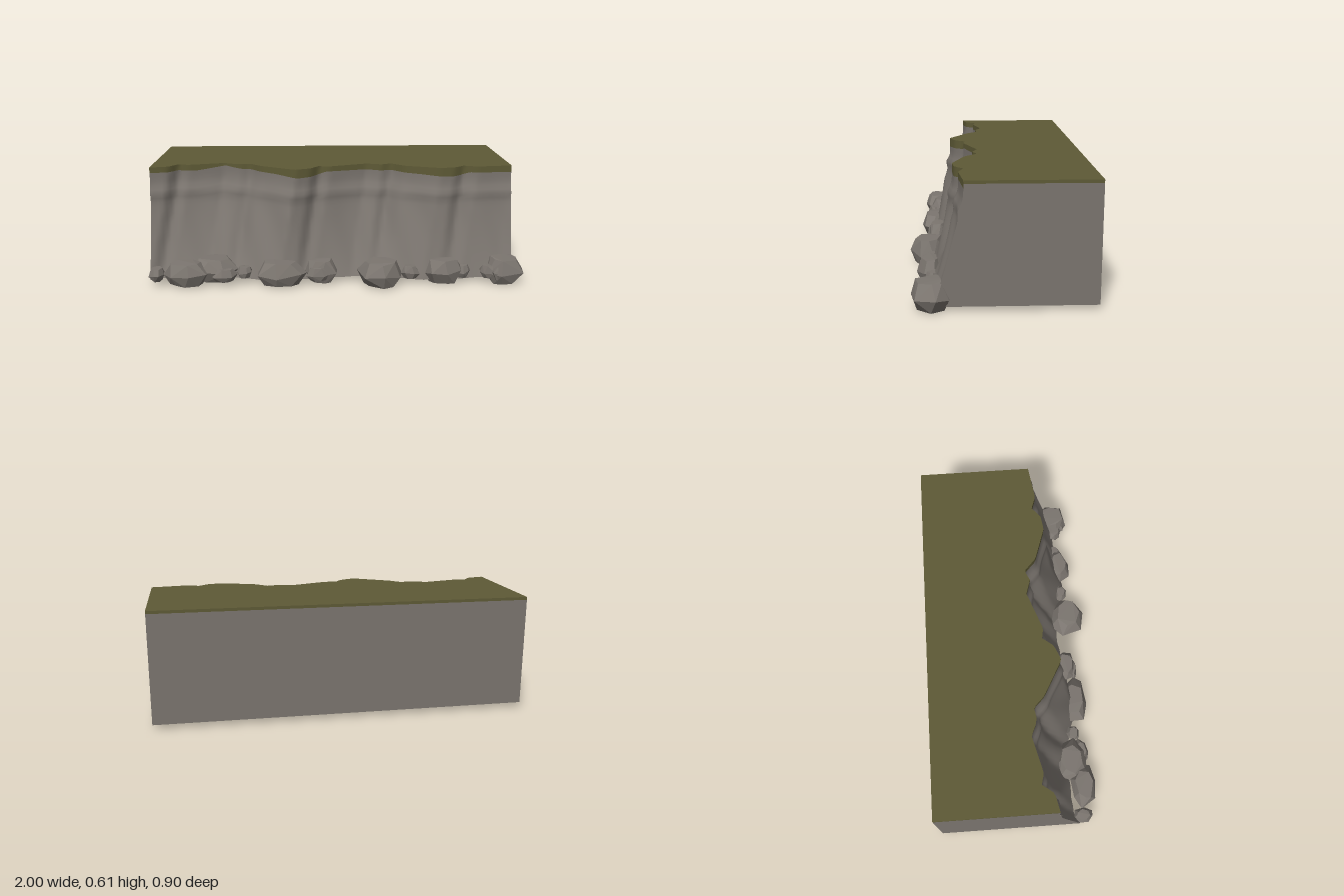
import * as THREE from 'three';
import { ConvexGeometry } from 'three/addons/geometries/ConvexGeometry.js';

const stone = new THREE.MeshStandardMaterial({ color: 0x7b756f });
stone.name = 'stone';
const grass = new THREE.MeshStandardMaterial({ color: 0x5e5a36 });
grass.name = 'grass';
const rubble = new THREE.MeshStandardMaterial({ color: 0x7b756f, flatShading: true });
rubble.name = 'rubble';

const LEFT = -0.995, RIGHT = 0.945, BACK = -0.455, BASE = 0.025, TOP = 0.605;
const { lerp, clamp } = THREE.MathUtils;

// Cliff rim seen from above: [x, z]
const RIM = [[-0.995, 0.165], [-0.9, 0.145], [-0.855, 0.085], [-0.8, 0.1], [-0.61, 0.055], [-0.555, 0.08],
  [-0.52, 0.088], [-0.465, 0.078], [-0.41, 0.135], [-0.22, 0.242], [-0.14, 0.21], [-0.095, 0.152],
  [-0.04, 0.162], [0.165, 0.09], [0.245, 0.115], [0.3, 0.09], [0.37, 0.155], [0.55, 0.216],
  [0.63, 0.205], [0.685, 0.16], [0.755, 0.185], [0.945, 0.16]];
// Lower edge of the grass on the front: [x, y]
const FRINGE = [[-0.995, 0.575], [-0.75, 0.572], [-0.6, 0.592], [-0.5, 0.577], [-0.32, 0.57], [-0.2, 0.557],
  [-0.1, 0.56], [-0.05, 0.578], [0.3, 0.57], [0.45, 0.565], [0.6, 0.556], [0.68, 0.558], [0.72, 0.572], [0.945, 0.57]];

function sample(table, x) {
  const i = clamp(table.findIndex(p => p[0] >= x), 1, table.length - 1);
  const [a, b] = [table[i - 1], table[i]];
  return lerp(a[1], b[1], clamp((x - a[0]) / (b[0] - a[0]), 0, 1));
}

// Cliff face: vertical lip, a ledge, then a flare outwards with leaning grooves
function faceZ(x, y) {
  const drop = Math.max(0, 0.555 - y);
  const rim = sample(RIM, clamp(x + 0.17 * drop, LEFT, RIGHT));
  const foot = 0.31 + 0.5 * (rim - 0.15);
  const ledge = 0.012 * Math.exp(-(((y - 0.465) / 0.025) ** 2));
  const ripple = 0.006 * Math.sin(x * 31 + y * 9) * Math.min(1, drop * 5);
  return lerp(rim, foot, (drop / 0.53) ** 1.4) + ledge + ripple;
}

// A grid whose points follow a rule of u and v
function patch(name, material, nu, nv, rule) {
  const g = new THREE.PlaneGeometry(1, 1, nu, nv);
  const { position, uv } = g.attributes;
  for (let i = 0; i < position.count; i++) position.setXYZ(i, ...rule(uv.getX(i), uv.getY(i)));
  g.computeVertexNormals();
  const m = new THREE.Mesh(g, material);
  m.name = name;
  return m;
}

// Rubble: [x, z, width, depth, bottom, top]
const ROCKS = [
  [-0.955, 0.33, 0.08, 0.1, 0.03, 0.1], [-0.795, 0.345, 0.25, 0.14, 0.01, 0.137],
  [-0.65, 0.29, 0.25, 0.18, 0.02, 0.14], [-0.6, 0.35, 0.15, 0.09, 0.03, 0.1],
  [-0.495, 0.315, 0.08, 0.07, 0.04, 0.1], [-0.29, 0.34, 0.26, 0.15, 0.005, 0.135],
  [-0.085, 0.315, 0.17, 0.11, 0.01, 0.135], [-0.1, 0.345, 0.13, 0.06, 0.03, 0.1],
  [0.225, 0.35, 0.24, 0.2, 0.005, 0.138], [0.39, 0.325, 0.1, 0.08, 0.03, 0.1],
  [0.435, 0.3, 0.08, 0.07, 0.03, 0.085], [0.57, 0.325, 0.2, 0.14, 0.005, 0.137],
  [0.67, 0.315, 0.09, 0.08, 0.03, 0.1], [0.82, 0.325, 0.11, 0.09, 0.03, 0.1],
  [0.9, 0.305, 0.2, 0.2, 0, 0.14], [0.87, 0.355, 0.1, 0.08, 0.03, 0.1]];

function makeRock([x, z, w, d, y0, y1], seed) {
  let s = seed * 7919 + 17;
  const rnd = () => (s = (s * 16807) % 2147483647) / 2147483647;
  for (let i = 0; i < 5; i++) rnd();
  const points = [];
  const spin = rnd() * 6;
  // Three rings: narrow foot, wide belt, flat crown
  for (const [y, r] of [[0, 0.68], [0.48, 1], [1, 0.66]]) {
    for (let i = 0; i < 7; i++) {
      const a = spin + (i + 0.5 * rnd()) / 7 * Math.PI * 2;
      const k = r * (0.88 + 0.2 * rnd());
      points.push(new THREE.Vector3(Math.cos(a) * k, y + (y === 0.48 ? 0.2 : 0.06) * (rnd() - 0.5), Math.sin(a) * k));
    }
  }
  // Fit to the wanted box
  const box = new THREE.Box3().setFromPoints(points);
  const size = box.getSize(new THREE.Vector3()), mid = box.getCenter(new THREE.Vector3());
  const scale = new THREE.Vector3(w, y1 - y0, d).divide(size);
  points.forEach(p => p.sub(mid).multiply(scale).add(new THREE.Vector3(x, (y0 + y1) / 2, z)));
  const m = new THREE.Mesh(new ConvexGeometry(points), rubble);
  m.name = 'rock' + (seed + 1);
  return m;
}

export function createModel() {
  const model = new THREE.Group();
  model.name = 'cliffSection';
  const atX = u => lerp(LEFT, RIGHT, u);
  const EDGE = 0.59;

  // Front
  model.add(patch('cliffFace', stone, 97, 24, (u, v) => {
    const x = atX(u), y = lerp(BASE, sample(FRINGE, x), v);
    return [x, y, faceZ(x, y)];
  }));
  model.add(patch('grassFringe', grass, 97, 1, (u, v) => {
    const x = atX(u), y = lerp(sample(FRINGE, x), TOP, v);
    return [x, y, faceZ(x, y)];
  }));

  // Top and underside
  model.add(patch('grassTop', grass, 97, 1, (u, v) => [atX(u), TOP, lerp(faceZ(atX(u), TOP), BACK, v)]));
  model.add(patch('underside', stone, 97, 1, (u, v) => [atX(u), BASE, lerp(BACK, faceZ(atX(u), BASE), v)]));

  // Ends and back, each with a thin grass edge
  for (const [part, material, low, high] of [['Wall', stone, BASE, EDGE], ['GrassEdge', grass, EDGE, TOP]]) {
    const height = v => lerp(low, high, v);
    model.add(patch('left' + part, material, 1, 24, (u, v) =>
      [RIGHT, height(v), lerp(faceZ(RIGHT, height(v)), BACK, u)]));
    model.add(patch('right' + part, material, 1, 24, (u, v) =>
      [LEFT, height(v), lerp(BACK, faceZ(LEFT, height(v)), u)]));
    model.add(patch('back' + part, material, 1, 1, (u, v) => [atX(1 - u), height(v), BACK]));
  }

  // Rocks along the foot
  const rocks = new THREE.Group();
  rocks.name = 'footRocks';
  ROCKS.forEach((r, i) => rocks.add(makeRock(r, i)));
  model.add(rocks);
  return model;
}
